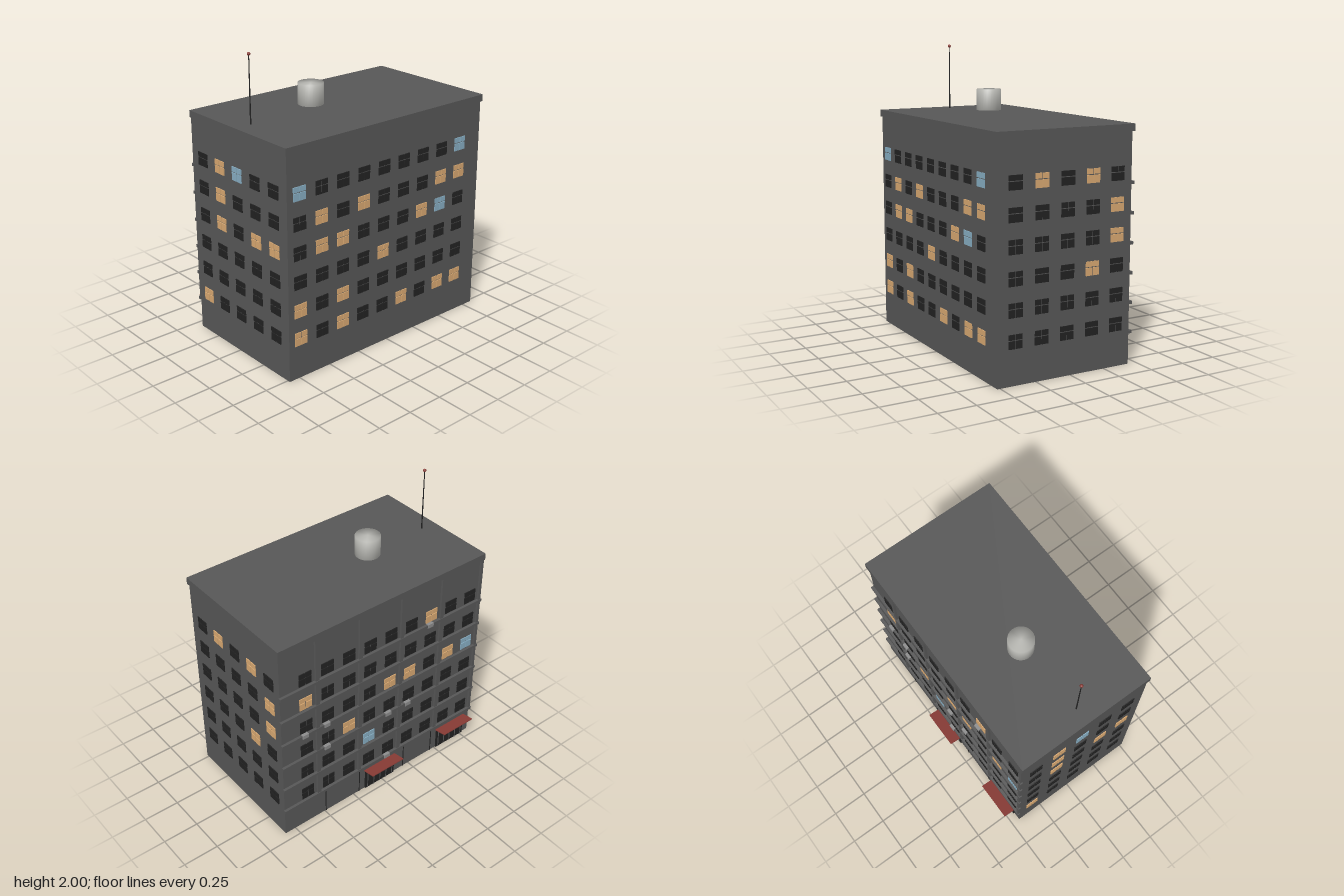
import * as THREE from 'three';
import { mergeGeometries, mergeVertices } from 'three/addons/utils/BufferGeometryUtils.js';

const mat = (name, color) => {
  const m = new THREE.MeshStandardMaterial({ color });
  m.name = name;
  return m;
};

export function createModel() {
  const root = new THREE.Group();
  root.name = 'apartmentBlock';
  const wall = mat('wallGrey', 0x575757);
  const dark = mat('darkGlass', 0x222222);
  const warm = mat('warmLight', 0xd8a871);
  const blue = mat('blueLight', 0x86adc2);
  const red = mat('awningRed', 0x8a3c36);
  const metal = mat('tankMetal', 0xb9b9b4);
  const unitGrey = mat('unitGrey', 0x8c8c8c);

  const add = (name, geo, m, x, y, z, parent = root) => {
    const mesh = new THREE.Mesh(geo, m);
    mesh.name = name;
    mesh.position.set(x, y, z);
    parent.add(mesh);
    return mesh;
  };
  // Box given by its minimum and maximum on each axis
  const span = (name, m, x0, x1, y0, y1, z0, z1) =>
    add(name, new THREE.BoxGeometry(x1 - x0, y1 - y0, z1 - z0), m, (x0 + x1) / 2, (y0 + y1) / 2, (z0 + z1) / 2);

  // Main block and roof slab
  span('body', wall, -0.44, 0.52, 0, 1.5, -0.83, 0.83);
  span('roofSlab', wall, -0.455, 0.53, 1.5, 1.547, -0.84, 0.84);

  // Windows: four thin panes each; the gaps between panes read as glazing bars
  const rowY = (r) => 1.243 - 0.193 * r;
  const panes = (x, y) => {
    const list = [];
    for (const s of [-1, 1]) {
      for (const [h, cy] of [[0.034, 0.028], [0.05, -0.02]]) {
        list.push(new THREE.BoxGeometry(0.0445, h, 0.007).translate(x + s * 0.025, y + cy, 0.0025));
      }
    }
    return list;
  };
  const facade = (name, angle, x, z, start, step, rows) => {
    const face = new THREE.Group();
    face.name = name;
    face.position.set(x, 0, z);
    face.rotation.y = angle;
    const kinds = { '.': [], w: [], b: [] };
    rows.forEach((row, r) => [...row].forEach((k, c) => kinds[k].push(...panes(start + step * c, rowY(r)))));
    const looks = { '.': ['darkWindows', dark], w: ['warmWindows', warm], b: ['blueWindows', blue] };
    for (const k in kinds) {
      if (kinds[k].length) add(looks[k][0], mergeGeometries(kinds[k]), looks[k][1], 0, 0, 0, face);
    }
    root.add(face);
  };
  facade('frontWindows', 0, 0, 0.83, -0.335, 0.1825,
    ['.wb..', '.w...', '.w.ww', '.....', '.....', 'w....']);
  facade('leftWindows', Math.PI / 2, 0.52, 0, -0.737, 0.172,
    ['b.......b', '.w.w...ww', '.ww...wb.', '....w....', 'w.w......', 'w.w..w.ww']);
  facade('backWindows', Math.PI, 0, -0.83, -0.395, 0.1825,
    ['.w.w.', '....w', '....w', '...w.', '.....', '.....']);
  facade('rightWindows', -Math.PI / 2, -0.44, 0, -0.639, 0.172,
    ['......w..', 'w........', '....ww.wb', '..w......', '...b.....', '.........']);

  // Street side: pilasters between window pairs and a ledge under every floor
  for (let i = 0; i < 5; i++) {
    const z = -0.553 + 0.344 * i;
    span('pilaster', wall, -0.455, -0.44, 0.2, 1.5, z - 0.013, Math.min(z + 0.013, 0.83));
  }
  for (let r = 0; r < 6; r++) {
    const y = rowY(r) - 0.065;
    span('floorLedge', wall, -0.459, -0.44, y - 0.01, y + 0.01, -0.837, 0.837);
  }

  // Cooling units under some windows: [column, floor]
  for (const [c, r] of [[6, 0], [0, 2], [1, 2], [1, 3], [4, 3], [5, 3], [4, 5]]) {
    const z = -0.659 + 0.172 * c;
    const y = rowY(r) - 0.062;
    span('coolingUnit', unitGrey, -0.466, -0.44, y - 0.014, y + 0.014, z - 0.023, z + 0.023);
  }

  // Ground floor seams
  for (const z of [-0.49, -0.2, 0.2, 0.46]) {
    span('wallSeam', dark, -0.443, -0.44, 0, 0.2, z - 0.003, z + 0.003);
  }

  // Two entrances with glazed doors and tilted awnings
  for (const z of [-0.02, 0.643]) {
    span('entranceDoors', dark, -0.448, -0.44, 0, 0.165, z - 0.13, z + 0.13);
    for (let i = -2; i <= 2; i++) {
      span('doorBar', wall, -0.451, -0.448, 0, 0.165, z + i * 0.055 - 0.003, z + i * 0.055 + 0.003);
    }
    const awning = add('awning', new THREE.BoxGeometry(0.096, 0.006, 0.275), red, -0.488, 0.176, z);
    awning.rotation.z = -0.2;
  }

  // Water tank, shaded smoothly over its rims
  let tank = new THREE.CylinderGeometry(0.085, 0.085, 0.14, 32);
  tank.deleteAttribute('normal');
  tank.deleteAttribute('uv');
  tank = mergeVertices(tank);
  tank.computeVertexNormals();
  add('waterTank', tank, metal, 0, 1.642, 0.212);

  // Mast with a red warning lamp
  add('mast', new THREE.CylinderGeometry(0.003, 0.0045, 0.45, 8), dark, 0.04, 1.768, 0.722);
  add('mastLamp', new THREE.SphereGeometry(0.011, 12, 8), red, 0.04, 1.989, 0.722);

  return root;
}
